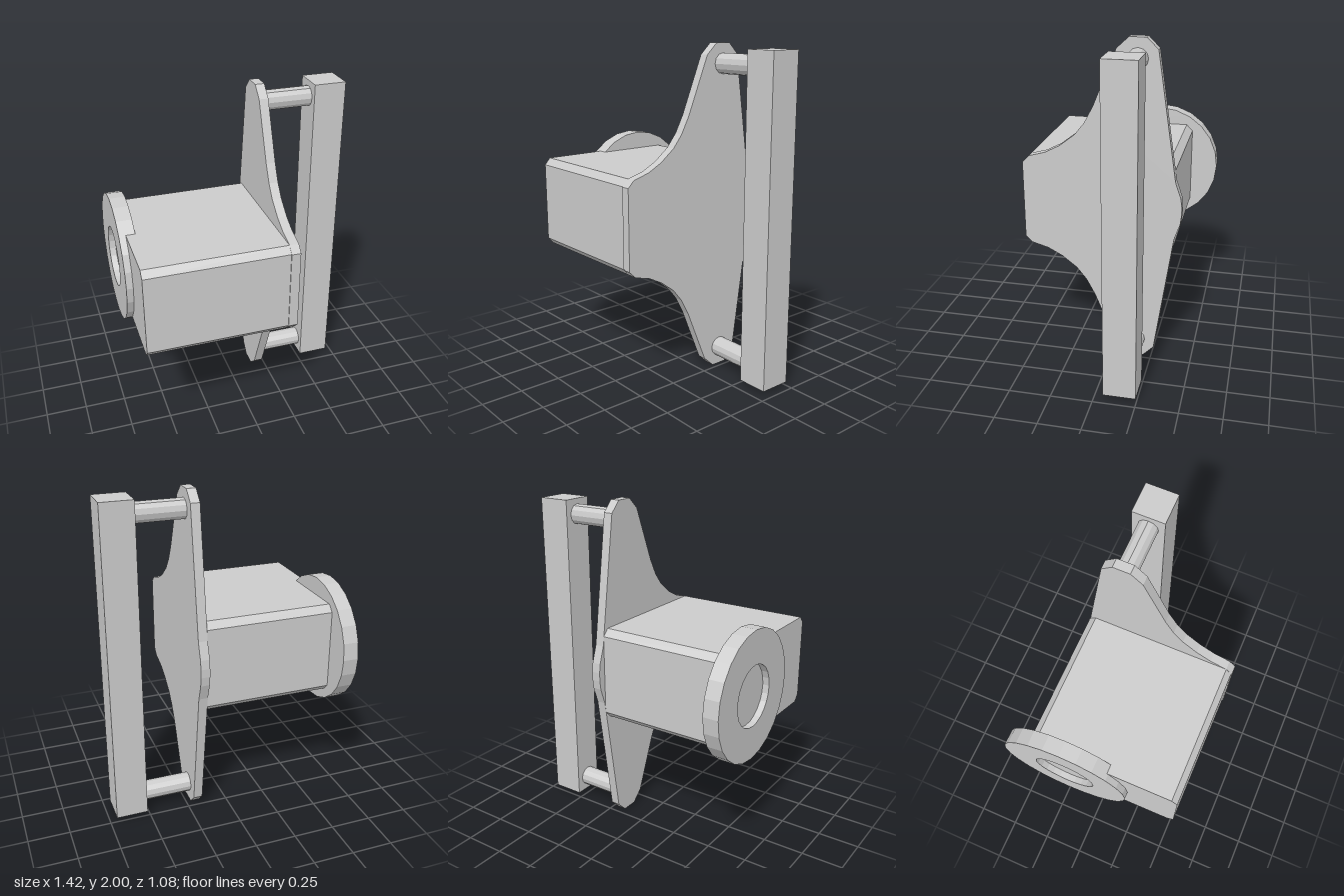
import * as THREE from 'three';

const MID = 1; // height of the horizontal symmetry plane
const AXIS_Z = -0.153; // z of the round flange

// Extrude a side outline, made in (-z, y), along x from x0 to x1
function extrudeAlongX(shape, x0, x1) {
  const geometry = new THREE.ExtrudeGeometry(shape, { depth: x1 - x0, bevelEnabled: false });
  geometry.rotateY(Math.PI / 2);
  geometry.translate(x0, 0, 0);
  return geometry;
}

// Closed outline from its upper half of [z, height above MID], mirrored below
function mirroredShape(half) {
  const lower = half.map(([z, h]) => [z, -h]).reverse();
  return new THREE.Shape([...half, ...lower].map(([z, h]) => new THREE.Vector2(-z, MID + h)));
}

// 24-sided circle points in (-z, y)
function circlePoints(radius, sides = 24) {
  return Array.from({ length: sides }, (_, i) => {
    const a = (i / sides) * Math.PI * 2;
    return new THREE.Vector2(-AXIS_Z + radius * Math.cos(a), MID + radius * Math.sin(a));
  });
}

export function createModel() {
  const model = new THREE.Group();
  model.name = 'bracketHandle';
  const material = new THREE.MeshStandardMaterial({ color: 0xcccccc, flatShading: true });

  const add = (name, geometry, x = 0, y = 0, z = 0) => {
    const mesh = new THREE.Mesh(geometry, material);
    mesh.name = name;
    mesh.position.set(x, y, z);
    model.add(mesh);
    return mesh;
  };

  // Box body with chamfered long edges
  const body = mirroredShape([[0.535, 0.24], [0.5, 0.28], [-0.33, 0.28], [-0.37, 0.24]]);
  add('body', extrudeAlongX(body, -0.67, 0.165));

  // Flared side plate
  const plate = mirroredShape([
    [0.54, 0.24], [0.5, 0.28], [0.4, 0.308], [0.31, 0.355], [0.22, 0.425],
    [0.16, 0.5], [0.107, 0.6], [-0.03, 0.935], [-0.1, 1], [-0.2, 1],
    [-0.265, 0.935], [-0.354, 0.33], [-0.376, 0.18], [-0.41, 0.08], [-0.417, 0.025],
  ]);
  add('sidePlate', extrudeAlongX(plate, 0.165, 0.22));

  // Round flange with a shallow recess that ends on the body
  const flange = new THREE.Shape(circlePoints(0.388));
  flange.holes.push(new THREE.Path(circlePoints(0.184)));
  add('flange', extrudeAlongX(flange, -0.71, -0.615));

  // Two pegs carrying the grip bar
  for (const [name, side] of [['upperPeg', 1], ['lowerPeg', -1]]) {
    const peg = new THREE.CylinderGeometry(0.06, 0.06, 0.3, 12);
    peg.rotateZ(Math.PI / 2);
    add(name, peg, 0.368, MID + side * 0.883, -0.15);
  }
  add('gripBar', new THREE.BoxGeometry(0.193, 1.95, 0.193), 0.612, MID, -0.15);

  return model;
}
